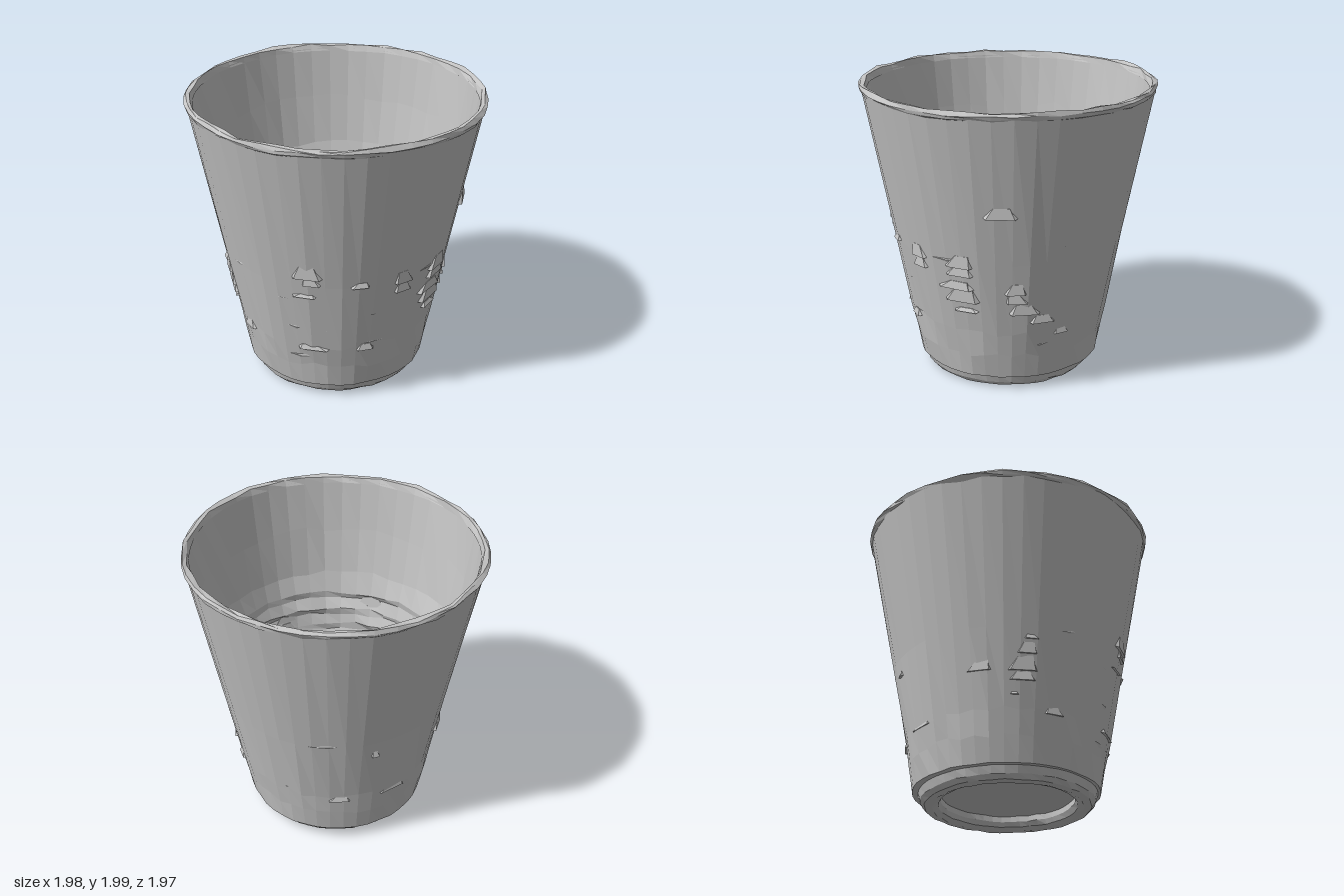
import * as THREE from 'three';

const SEGMENTS = 44;

// Repeatable noise in -1..1 for a column and row
function noise(column, row) {
  const s = Math.sin(column * 127.1 + row * 311.7 + 4.3) * 43758.5453;
  return (s - Math.floor(s)) * 2 - 1;
}

const outerRadius = (y) => 0.607 + (y - 0.1) * 0.197;

export function createModel() {
  const group = new THREE.Group();
  group.name = 'cup';
  const grey = new THREE.MeshStandardMaterial({ color: 0xc4c4c4, flatShading: true, side: THREE.DoubleSide });
  grey.name = 'plain grey';

  // Revolves a profile of [radius, height, radial roughness, vertical roughness];
  // swell(angle, row) adds a slow change of radius around the cup
  function revolve(name, profile, swell = () => 0) {
    const points = profile.map(([r, y]) => new THREE.Vector2(r, y));
    const geometry = new THREE.LatheGeometry(points, SEGMENTS);
    const pos = geometry.attributes.position;
    for (let i = 0; i < pos.count; i++) {
      const column = Math.floor(i / points.length) % SEGMENTS;
      const row = i % points.length;
      const [r, y, radial = 0, vertical = 0] = profile[row];
      if (r === 0) continue;
      const angle = (column / SEGMENTS) * Math.PI * 2;
      const radius = r + noise(column, row) * radial + swell(angle, row);
      pos.setXYZ(i, Math.sin(angle) * radius, y + noise(column, row + 50) * vertical, Math.cos(angle) * radius);
    }
    const mesh = new THREE.Mesh(geometry, grey);
    mesh.name = name;
    group.add(mesh);
  }

  // Tapered outside, roughened below and swollen at the back left of its base
  const baseSwell = [0, 0.02, 0.016, 0.008, 0, 0];
  revolve('outerWall', [
    [0.575, 0.095], [outerRadius(0.1), 0.1, 0.004, 0.003], [outerRadius(0.27), 0.27, 0.007, 0.02],
    [outerRadius(0.44), 0.44, 0.006, 0.02], [outerRadius(0.95), 0.95, 0.004], [outerRadius(1.95), 1.95, 0.003],
  ], (angle, row) => baseSwell[row] * Math.max(0, Math.cos(angle + 2.2)));

  // Thin uneven lip
  const lipSwell = (angle, row) => (row > 0 && row < 4 ? 0.005 * Math.sin(angle * 5 + 1) : 0);
  revolve('rim', [
    [0.964, 1.93, 0.002, 0.003], [0.976, 1.945, 0.007, 0.008], [0.986, 1.965, 0.007, 0.007],
    [0.972, 1.985, 0.009, 0.009], [0.945, 1.98, 0.009, 0.008], [0.932, 1.94, 0.002, 0.003],
  ], lipSwell);

  // Inside: smooth upper band, then stacked uneven ridges down to the floor
  const inside = [[0.938, 1.955], [0.885, 1.6, 0.004, 0.03], [0.83, 1.27, 0.005, 0.02]];
  for (let i = 0; i < 7; i++) {
    const y = 1.1 - i * 0.12;
    const r = 0.8 - i * 0.024;
    inside.push([r - 0.018, y + 0.02, 0.009, 0.014], [r - 0.01, y - 0.025, 0.007, 0.012]);
  }
  inside.push([0.605, 0.24, 0.004, 0.006], [0.58, 0.17]);
  revolve('innerWall', inside,
    (angle, row) => (row > 2 && row < inside.length - 2 ? 0.006 * Math.sin(angle * 3 + row * 1.7) : 0));

  // Soft bead and level floor
  revolve('floorBead', [
    [0.59, 0.18], [0.582, 0.205, 0.004, 0.004], [0.555, 0.215, 0.006, 0.005],
    [0.525, 0.195, 0.005, 0.004], [0.495, 0.15, 0.004],
  ]);
  revolve('floor', [[0.515, 0.16, 0, 0.003], [0.43, 0.157, 0.01, 0.005], [0, 0.15]]);

  // Recessed underside inside a rounded foot
  revolve('underside', [[0, 0.1], [0.45, 0.1, 0, 0.005]]);
  revolve('foot', [
    [0.44, 0.11], [0.437, 0.06, 0.004, 0.003], [0.455, 0.028, 0.004, 0.004], [0.495, 0.013, 0.004, 0.005],
    [0.545, 0.016, 0.004, 0.005], [0.573, 0.045, 0.003, 0.005], [0.59, 0.1],
  ]);

  // Small horizontal creases on the outside: angle from front in degrees, height, width, thickness
  const creases = [
    [8, 1.065, 0.21, 0.09], [10, 1.0, 0.13, 0.06], [6, 0.88, 0.17, 0.02], [33, 0.97, 0.13, 0.03],
    [56, 0.97, 0.15, 0.08], [56, 0.89, 0.14, 0.06],
    [80, 0.96, 0.2, 0.08], [80, 0.89, 0.2, 0.06],
    [77, 0.785, 0.26, 0.05], [80, 0.72, 0.25, 0.1], [82, 0.61, 0.18, 0.02],
    [108, 0.78, 0.15, 0.07], [109, 0.71, 0.15, 0.06], [113, 0.63, 0.21, 0.07], [123, 0.55, 0.18, 0.05],
    [101, 1.325, 0.23, 0.07], [-52, 0.89, 0.1, 0.03], [-54, 0.82, 0.14, 0.08],
    [-56, 0.72, 0.2, 0.1], [-56, 0.64, 0.18, 0.06], [-60, 0.53, 0.06, 0.02],
    [9, 0.44, 0.22, 0.03], [38, 0.44, 0.13, 0.04], [-38, 0.44, 0.14, 0.05],
    [135, 0.44, 0.12, 0.04], [-150, 0.42, 0.16, 0.04], [-118, 0.44, 0.22, 0.04],
    [-132, 0.85, 0.06, 0.04], [-78, 0.71, 0.17, 0.07],
  ];
  const creaseGroup = new THREE.Group();
  creaseGroup.name = 'creases';
  creases.forEach(([degrees, y, width, height], i) => {
    // A wedge: narrow and flush at the top, jutting out along its lower edge
    const geometry = new THREE.BoxGeometry(width, height, 0.03);
    const pos = geometry.attributes.position;
    for (let v = 0; v < pos.count; v++) {
      const top = pos.getY(v) > 0;
      const front = pos.getZ(v) > 0;
      if (top) pos.setX(v, pos.getX(v) * 0.45 + noise(i, 7) * width * 0.15);
      else if (front) pos.setX(v, pos.getX(v) * 0.8);
      pos.setZ(v, front && !top ? 0.02 : front ? 0.001 : -0.015);
    }
    const crease = new THREE.Mesh(geometry, grey);
    crease.name = `crease${i + 1}`;
    const angle = THREE.MathUtils.degToRad(degrees);
    const r = outerRadius(y) - 0.003;
    crease.position.set(Math.sin(angle) * r, y, Math.cos(angle) * r);
    crease.rotation.set(0.19, angle, 0, 'YXZ');
    creaseGroup.add(crease);
  });
  group.add(creaseGroup);

  return group;
}
